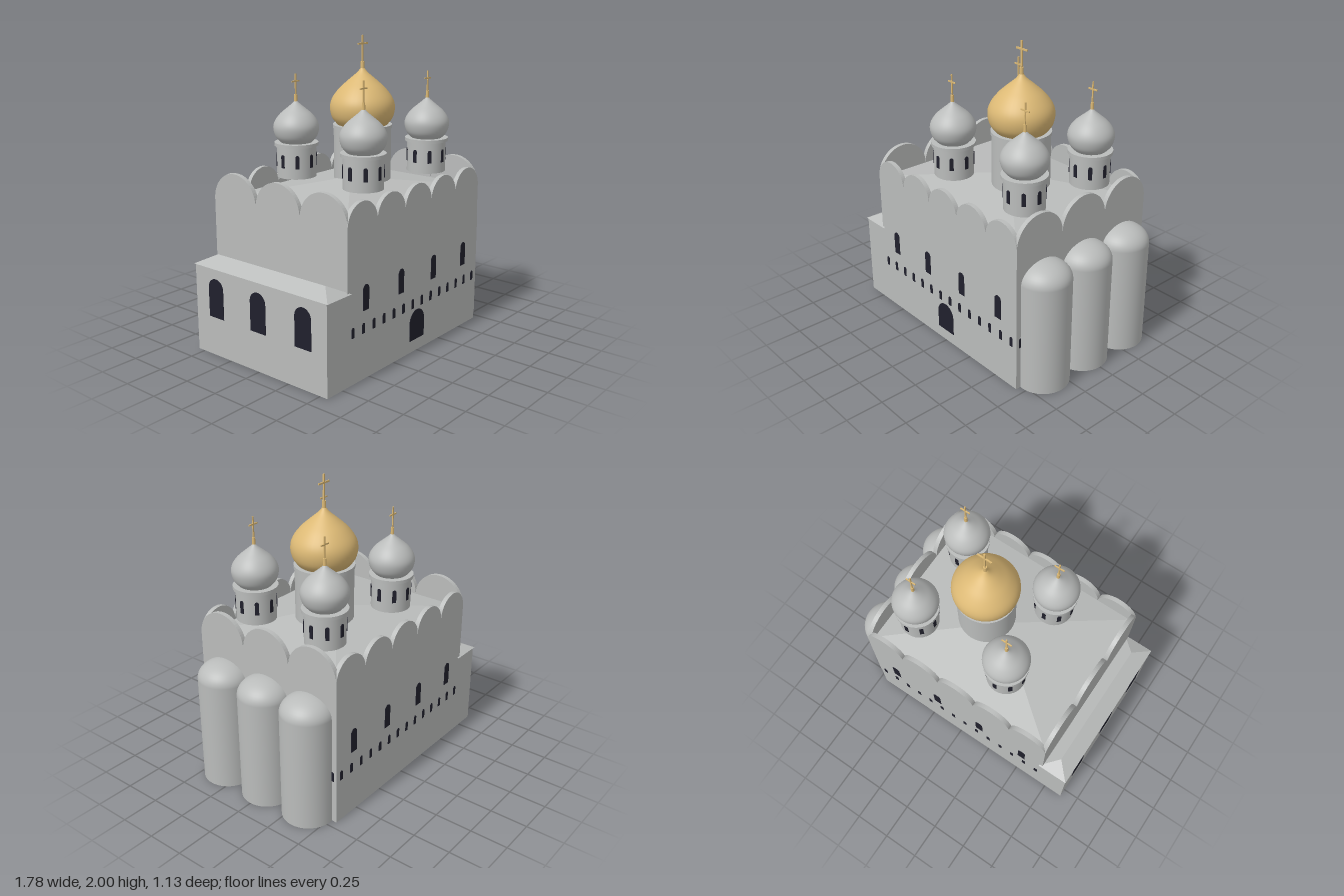
import * as THREE from 'three';
import { ConvexGeometry } from 'three/addons/geometries/ConvexGeometry.js';

const stone = new THREE.MeshStandardMaterial({ color: 0xbabcbb, side: THREE.DoubleSide });
stone.name = 'grey stone';
const gold = new THREE.MeshStandardMaterial({ color: 0xdcb975, side: THREE.DoubleSide });
gold.name = 'gold';
const dark = new THREE.MeshStandardMaterial({ color: 0x20202c });
dark.name = 'dark opening';

const WALL_T = 0.03, SPRING = 0.98, HALF_X = 0.7, HALF_Z = 0.555;

function add(parent, name, geometry, material, x = 0, y = 0, z = 0, rotY = 0) {
  const mesh = new THREE.Mesh(geometry, material);
  mesh.name = name;
  mesh.position.set(x, y, z);
  mesh.rotation.y = rotY;
  parent.add(mesh);
  return mesh;
}

// Wall slab whose top edge is a row of semicircular gables; outer face at local z = 0
function gabledWall(width, bottom, count) {
  const r = width / count / 2;
  const s = new THREE.Shape();
  s.moveTo(-width / 2, bottom);
  s.lineTo(width / 2, bottom);
  s.lineTo(width / 2, SPRING);
  for (let i = 0; i < count; i++) {
    s.absarc(width / 2 - r * (2 * i + 1), SPRING, r, 0, Math.PI, false);
  }
  s.closePath();
  const g = new THREE.ExtrudeGeometry(s, { depth: WALL_T, bevelEnabled: false, curveSegments: 16 });
  return g.translate(0, 0, -WALL_T);
}

// Thin round-headed plate, base at local y = 0
function archPlate(w, h) {
  const r = w / 2;
  const s = new THREE.Shape();
  s.moveTo(-r, 0);
  s.lineTo(r, 0);
  s.lineTo(r, h - r);
  s.absarc(0, h - r, r, 0, Math.PI, false);
  s.closePath();
  const g = new THREE.ExtrudeGeometry(s, { depth: 0.006, bevelEnabled: false, curveSegments: 8 });
  return g.translate(0, 0, -0.003);
}

// Onion dome profile through a few points, as [radius, height]
function onion(points) {
  const curve = new THREE.SplineCurve(points.map(p => new THREE.Vector2(...p)));
  return new THREE.LatheGeometry(curve.getPoints(32), 40);
}

function cross(parent, base, poleTop, top, barY, barW, t) {
  add(parent, 'crossPole', new THREE.CylinderGeometry(t * 1.1, t * 1.3, poleTop - base, 12), gold, 0, (base + poleTop) / 2);
  add(parent, 'crossUpright', new THREE.BoxGeometry(t, top - poleTop, t * 0.8), gold, 0, (top + poleTop) / 2);
  add(parent, 'crossBar', new THREE.BoxGeometry(barW, t, t * 0.8), gold, 0, barY);
}

function smallTower(x, z) {
  const g = new THREE.Group();
  g.name = 'cornerTower';
  g.position.set(x, 0, z);
  add(g, 'drum', new THREE.CylinderGeometry(0.13, 0.13, 0.21, 32), stone, 0, 1.19);
  add(g, 'drumCornice', new THREE.CylinderGeometry(0.145, 0.145, 0.022, 32), stone, 0, 1.302);
  add(g, 'onionDome', onion([[0.1, 1.31], [0.135, 1.35], [0.15, 1.405], [0.14, 1.45],
    [0.108, 1.495], [0.062, 1.535], [0.026, 1.565], [0.007, 1.585]]), stone);
  for (let i = 0; i < 8; i++) {
    const a = i * Math.PI / 4;
    add(g, 'drumWindow', archPlate(0.026, 0.087), dark, Math.sin(a) * 0.13, 1.155, Math.cos(a) * 0.13, a);
  }
  cross(g, 1.565, 1.625, 1.76, 1.71, 0.07, 0.009);
  return g;
}

function mainTower() {
  const g = new THREE.Group();
  g.name = 'mainTower';
  g.position.set(0.123, 0, 0);
  add(g, 'mainDrum', new THREE.CylinderGeometry(0.191, 0.191, 0.35, 40), stone, 0, 1.225);
  add(g, 'mainDrumCornice', new THREE.CylinderGeometry(0.197, 0.197, 0.024, 40), stone, 0, 1.405);
  add(g, 'goldenDome', onion([[0.165, 1.415], [0.202, 1.465], [0.215, 1.53], [0.2, 1.59],
    [0.152, 1.655], [0.092, 1.71], [0.037, 1.757], [0.01, 1.79]]), gold);
  cross(g, 1.765, 1.83, 2.0, 1.945, 0.1, 0.011);
  return g;
}

export function createModel() {
  const model = new THREE.Group();
  model.name = 'cathedral';

  // Gabled walls of the main block; the west wall starts above the porch
  const longWall = gabledWall(HALF_X * 2, 0, 5);
  add(model, 'frontWall', longWall, stone, 0, 0, HALF_Z);
  add(model, 'backWall', longWall, stone, 0, 0, -HALF_Z, Math.PI);
  add(model, 'apseWall', gabledWall(HALF_Z * 2, 0, 3), stone, HALF_X, 0, 0, Math.PI / 2);
  add(model, 'porchSideWall', gabledWall(HALF_Z * 2, 0.585, 3), stone, -HALF_X, 0, 0, -Math.PI / 2);

  // Low pyramid roof behind the gables
  const roof = new THREE.CylinderGeometry(0, Math.SQRT2, 0.1, 4, 1, true, Math.PI / 4)
    .scale(HALF_X - WALL_T, 1, HALF_Z - WALL_T).toNonIndexed();
  roof.computeVertexNormals();
  add(model, 'mainRoof', roof, stone, 0, SPRING + 0.05);

  // Porch walls and hipped roof
  const porch = new THREE.Group();
  porch.name = 'porch';
  model.add(porch);
  add(porch, 'porchEndWall', new THREE.BoxGeometry(0.01, 0.585, HALF_Z * 2), stone, -0.88, 0.2925);
  for (const s of [-1, 1]) {
    add(porch, 'porchFlankWall', new THREE.BoxGeometry(0.185, 0.585, 0.01), stone, -0.7925, 0.2925, s * (HALF_Z - 0.005));
  }
  const hip = [];
  for (const s of [-1, 1]) {
    hip.push(new THREE.Vector3(-0.89, 0.585, s * 0.565), new THREE.Vector3(-0.673, 0.585, s * 0.565),
      new THREE.Vector3(-0.782, 0.642, s * 0.455));
  }
  add(porch, 'porchRoof', new ConvexGeometry(hip), stone);

  // Three apses with flattened half domes
  for (const z of [-0.347, 0, 0.347]) {
    add(model, 'apse', new THREE.CylinderGeometry(0.174, 0.174, 0.735, 40, 1, true), stone, 0.716, 0.3675, z);
    const cap = new THREE.SphereGeometry(0.174, 40, 12, 0, Math.PI * 2, 0, Math.PI / 2).scale(1, 0.69, 1);
    add(model, 'apseDome', cap, stone, 0.716, 0.735, z);
  }

  // Towers
  model.add(mainTower());
  for (const x of [-0.218, 0.465]) for (const z of [-0.282, 0.282]) model.add(smallTower(x, z));

  // Windows on the long walls
  const tall = archPlate(0.055, 0.162), small = archPlate(0.025, 0.066);
  for (const s of [-1, 1]) {
    const turn = s > 0 ? 0 : Math.PI;
    for (const x of [-0.53, -0.177, 0.177, 0.53]) add(model, 'tallWindow', tall, dark, x, 0.443, s * HALF_Z, turn);
    for (let i = 0; i < 14; i++) {
      add(model, 'smallWindow', small, dark, -0.653 + i * 0.1005, 0.3, s * HALF_Z, turn);
    }
    add(model, 'apseWallWindow', small, dark, HALF_X, 0.3, s * 0.523, Math.PI / 2);
  }

  // Front door and porch windows
  add(model, 'frontDoor', archPlate(0.157, 0.203), dark, 0, 0.08, HALF_Z);
  for (const z of [-0.37, 0, 0.37]) {
    add(porch, 'porchWindow', archPlate(0.13, 0.26), dark, -0.885, 0.26, z, -Math.PI / 2);
  }
  return model;
}
